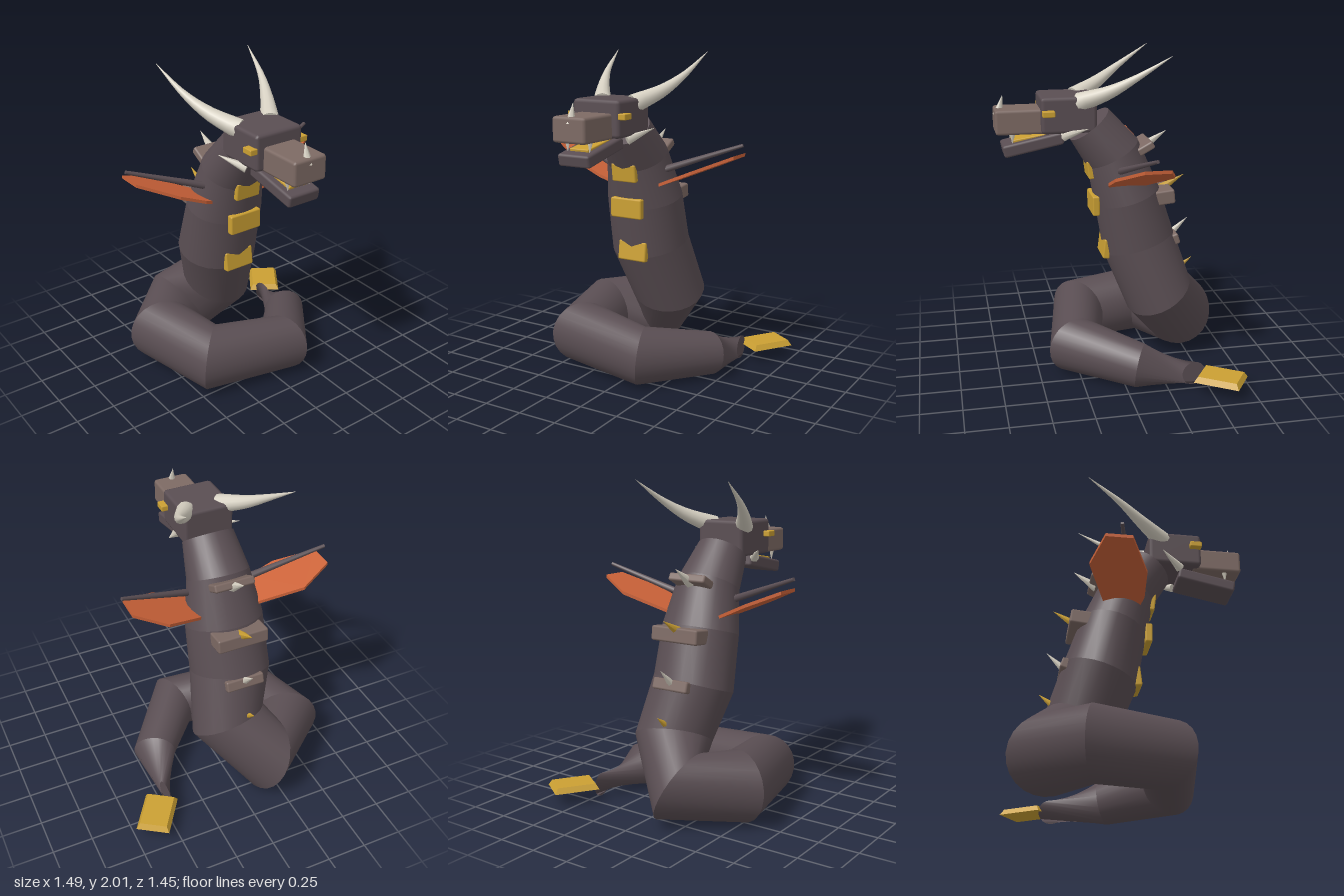
import * as THREE from 'three';
import { RoundedBoxGeometry } from 'three/addons/geometries/RoundedBoxGeometry.js';

const V = (x, y, z) => new THREE.Vector3(x, y, z);
const CX = -0.08; // centre line of neck and head

function material(name, color, extra = {}) {
  const m = new THREE.MeshStandardMaterial({ color, ...extra });
  m.name = name;
  return m;
}

// Round skin through rings { p, r, wx: stretch in x, t: forced direction, twist }
function sweep(rings, sides, creased) {
  const pos = [], index = [], loops = [];
  const q = new THREE.Quaternion(), step = new THREE.Quaternion();
  const dir = (a, b) => b.p.clone().sub(a.p).normalize();
  let last = V(0, 0, 1);
  rings.forEach((ring, i) => {
    const t = V(0, 0, 0);
    if (i > 0) t.add(dir(rings[i - 1], ring));
    if (i < rings.length - 1) t.add(dir(ring, rings[i + 1]));
    if (ring.t) t.copy(ring.t);
    t.normalize();
    q.premultiply(step.setFromUnitVectors(last, t));
    last = t;
    const loop = [];
    for (let j = 0; j < sides; j++) {
      const a = (j / sides) * Math.PI * 2 + (ring.twist || 0);
      const v = V(Math.cos(a), Math.sin(a), 0).multiplyScalar(ring.r).applyQuaternion(q);
      v.x *= ring.wx || 1;
      loop.push(v.add(ring.p));
    }
    loops.push(loop);
  });
  const add = (loop) => {
    const start = pos.length / 3;
    loop.forEach((v) => pos.push(v.x, v.y, v.z));
    return start;
  };
  let prev = add(loops[0]);
  for (let i = 1; i < loops.length; i++) {
    if (creased && i > 1) prev = add(loops[i - 1]);
    const next = add(loops[i]);
    for (let j = 0; j < sides; j++) {
      const k = (j + 1) % sides;
      index.push(prev + j, prev + k, next + j, prev + k, next + k, next + j);
    }
    prev = next;
  }
  // End caps
  [0, loops.length - 1].forEach((i) => {
    const s = add(loops[i]), c = add([rings[i].p]);
    for (let j = 0; j < sides; j++) {
      const k = (j + 1) % sides;
      if (i === 0) index.push(c, s + k, s + j);
      else index.push(c, s + j, s + k);
    }
  });
  const g = new THREE.BufferGeometry();
  g.setAttribute('position', new THREE.Float32BufferAttribute(pos, 3));
  g.setIndex(index);
  g.computeVertexNormals();
  return g;
}

export function createModel() {
  const root = new THREE.Group();
  root.name = 'hornedSerpent';
  const hide = material('dark hide', 0x5a4e53, { side: THREE.DoubleSide });
  const scale = material('brown scale', 0x7d6a64);
  const gold = material('gold', 0xcba033);
  const bone = material('bone', 0xd6d0c2);
  const fin = material('orange fin', 0xcc6339);

  const mesh = (name, geo, mat) => {
    const m = new THREE.Mesh(geo, mat);
    m.name = name;
    root.add(m);
    return m;
  };
  // Chamfered block, tilted about x
  const block = (name, mat, [w, h, d], [x, y, z], tilt = 0, bevel = 0.015) => {
    const m = mesh(name, new RoundedBoxGeometry(w, h, d, 1, bevel), mat);
    m.position.set(x, y, z);
    m.rotation.x = tilt;
    return m;
  };
  // Cone or rod running from base to tip
  const spike = (name, mat, base, tip, r, rTip = 0.001, sides = 6) => {
    const d = tip.clone().sub(base);
    const m = mesh(name, new THREE.CylinderGeometry(rTip, r, d.length(), sides), mat);
    m.position.copy(base).addScaledVector(d, 0.5);
    m.quaternion.setFromUnitVectors(V(0, 1, 0), d.normalize());
    return m;
  };

  // Body, from the neck down through the coil to the tail
  const body = [
    [-0.08, 1.555, 0.135, 0.15, 1.08],
    [-0.08, 1.37, -0.01, 0.18, 1.1],
    [-0.08, 1.1, -0.1, 0.21, 1.18],
    [-0.085, 0.78, -0.18, 0.235, 1.09],
    [-0.02, 0.45, -0.3, 0.225, 1.08],
    [-0.2, 0.23, -0.48, 0.24],
    [-0.47, 0.22, -0.25, 0.22],
    [-0.38, 0.205, 0.17, 0.205],
    [0.12, 0.175, 0.27, 0.18],
    [0.41, 0.135, -0.09, 0.135],
  ].map(([x, y, z, r, wx]) => ({ p: V(x, y, z), r, wx }));
  body.push({ p: V(0.47, 0.08, -0.415), r: 0.075, t: V(1, 0, -0.1), twist: 1.7 });
  mesh('body', sweep(body, 24, true), hide);

  // Tail blade with a smaller top face
  const blade = new THREE.BoxGeometry(0.28, 0.035, 0.205);
  const bp = blade.attributes.position;
  for (let i = 0; i < bp.count; i++) {
    if (bp.getY(i) > 0) bp.setXYZ(i, bp.getX(i) * 0.86, bp.getY(i), bp.getZ(i) * 0.82);
  }
  blade.computeVertexNormals();
  const tail = mesh('tailBlade', blade, gold);
  tail.position.set(0.583, 0.097, -0.553);
  tail.rotation.y = Math.atan2(0.23, 0.155);

  // Belly plates
  [
    [0.2, 0.125, 0.763, 0.04, -0.12],
    [0.22, 0.125, 1.053, 0.11, 0],
    [0.17, 0.115, 1.28, 0.135, 0.12],
  ].forEach(([w, h, y, z, tilt]) => block('bellyPlate', gold, [w, h, 0.045], [CX, y, z], tilt, 0.01));

  // Back plates and spines
  [
    [0.26, 0.05, 0.11, 1.41, -0.2, 0.5],
    [0.33, 0.09, 0.13, 1.1, -0.315, 0.1],
    [0.25, 0.07, 0.07, 0.805, -0.39, 0.3],
  ].forEach(([w, h, d, y, z, tilt]) => block('backPlate', scale, [w, h, d], [CX, y, z], tilt, 0.012));
  [
    [bone, 1.40, -0.21, 1.495, -0.355, 0.035],
    [gold, 1.11, -0.31, 1.205, -0.475, 0.035],
    [bone, 0.80, -0.38, 0.915, -0.505, 0.03],
    [gold, 0.58, -0.46, 0.64, -0.54, 0.022],
  ].forEach(([mat, y, z, ty, tz, r]) => spike('spine', mat, V(CX, y, z), V(CX, ty, tz), r));

  // Head
  block('skull', hide, [0.32, 0.22, 0.335], [CX, 1.64, 0.278], 0, 0.022);
  block('snout', scale, [0.225, 0.15, 0.32], [CX, 1.6, 0.555], 0, 0.018);
  block('jaw', hide, [0.215, 0.075, 0.37], [CX, 1.457, 0.49], 0.2, 0.015);
  block('tongue', gold, [0.13, 0.02, 0.25], [CX, 1.495, 0.49], 0.16, 0.006);
  spike('noseHorn', bone, V(CX, 1.63, 0.69), V(CX, 1.75, 0.66), 0.032);

  // Paired parts
  [-1, 1].forEach((s) => {
    const side = s > 0 ? 'left' : 'right';
    const P = (x, y, z) => V(CX + s * x, y, z);

    block(side + 'Eye', gold, [0.05, 0.036, 0.075], [CX + s * 0.175, 1.658, 0.405], 0, 0.006);
    spike(side + 'CheekSpike', bone, P(0.13, 1.51, 0.31), P(0.235, 1.572, 0.18), 0.03);
    spike(side + 'Fang', bone, P(0.08, 1.55, 0.61), P(0.075, 1.465, 0.615), 0.022);

    // Curved horn
    const curve = new THREE.CatmullRomCurve3([
      P(0.11, 1.71, 0.21), P(0.21, 1.78, 0.05), P(0.28, 1.87, -0.1), P(0.328, 2.0, -0.305),
    ]);
    const rings = curve.getPoints(10).map((p, i) => ({ p, r: 0.058 * (1 - i / 10) + 0.001 }));
    mesh(side + 'Horn', sweep(rings, 12, false), bone);

    // Fin strut and sloping membrane
    spike(side + 'FinStrut', hide, P(0.14, 1.275, -0.01), P(0.663, 1.462, -0.138), 0.024, 0.011, 8);
    const outline = [
      [0.14, -0.16], [0.2, -0.19], [0.44, -0.3], [0.635, -0.23],
      [0.635, -0.07], [0.41, 0.05], [0.24, 0.06], [0.14, 0.03],
    ].map(([x, z]) => new THREE.Vector2(s * x, -z));
    const web = new THREE.ExtrudeGeometry(new THREE.Shape(outline), { depth: 0.02, bevelEnabled: false });
    web.rotateX(-Math.PI / 2);
    const wp = web.attributes.position;
    for (let i = 0; i < wp.count; i++) {
      wp.setY(i, wp.getY(i) + 1.2 + 0.42 * (Math.abs(wp.getX(i)) - 0.2));
    }
    web.computeVertexNormals();
    mesh(side + 'FinMembrane', web, fin).position.x = CX;
  });

  return root;
}
